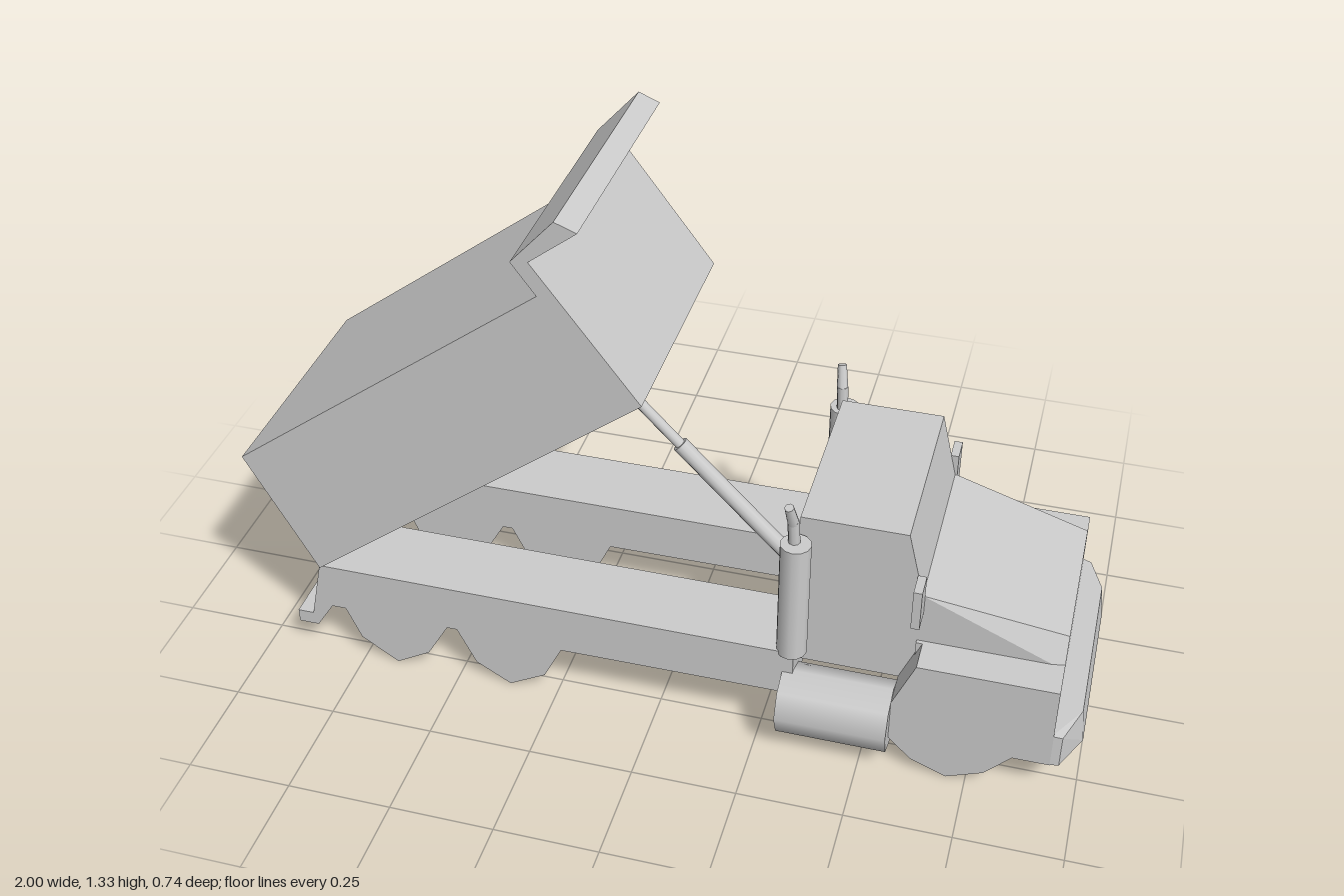
import * as THREE from 'three';
import { ConvexGeometry } from 'three/addons/geometries/ConvexGeometry.js';

const material = new THREE.MeshStandardMaterial({ color: 0xcccccc });

export function createModel() {
  const model = new THREE.Group();
  model.name = 'dumpTruck';

  const add = (name, geometry) => {
    const mesh = new THREE.Mesh(geometry, material);
    mesh.name = name;
    model.add(mesh);
    return mesh;
  };
  // Side profile in x and y, extruded from z0 to z1
  const slab = (points, z0, z1) => {
    const shape = new THREE.Shape(points.map(([x, y]) => new THREE.Vector2(x, y)));
    return new THREE.ExtrudeGeometry(shape, { depth: z1 - z0, bevelEnabled: false }).translate(0, 0, z0);
  };
  const mirroredSlab = (name, points, z0, z1) => {
    add(name + 'Left', slab(points, z0, z1));
    add(name + 'Right', slab(points, -z1, -z0));
  };
  const rod = (name, from, to, r0, r1 = r0, sides = 12) => {
    const a = new THREE.Vector3(...from), b = new THREE.Vector3(...to);
    const dir = b.clone().sub(a);
    const mesh = add(name, new THREE.CylinderGeometry(r1, r0, dir.length(), sides));
    mesh.position.copy(a).add(b).multiplyScalar(0.5);
    mesh.quaternion.setFromUnitVectors(new THREE.Vector3(0, 1, 0), dir.normalize());
    return mesh;
  };
  const box = (name, x0, x1, y0, y1, z0, z1) =>
    add(name, new THREE.BoxGeometry(x1 - x0, y1 - y0, z1 - z0)
      .translate((x0 + x1) / 2, (y0 + y1) / 2, (z0 + z1) / 2));
  // Convex solid symmetric about z = 0, from corners on the left half
  const symmetricHull = (name, corners) =>
    add(name, new ConvexGeometry(corners.flatMap(([x, y, z]) =>
      [new THREE.Vector3(x, y, z), new THREE.Vector3(x, y, -z)])));

  // Raised dump bed with its cab guard
  add('dumpBed', slab([
    [-1, 0.575], [-0.84, 0.27], [-0.02, 0.905], [-0.26, 1.225],
    [-0.15, 1.31], [-0.2, 1.33], [-0.3, 1.22], [-0.245, 1.145],
  ], -0.303, 0.303));

  // Chassis rails with tail steps and rear wheels in one silhouette
  mirroredSlab('chassisRail', [
    [-0.845, 0.27], [-0.88, 0.11], [-0.92, 0.11], [-0.92, 0.075], [-0.87, 0.075],
    [-0.825, 0.145], [-0.79, 0.145], [-0.755, 0.06], [-0.665, 0], [-0.58, 0.05],
    [-0.525, 0.145], [-0.5, 0.145], [-0.455, 0.05], [-0.37, 0], [-0.28, 0.05],
    [-0.235, 0.142], [0.33, 0.145], [0.33, 0.27],
  ], 0.105, 0.295);
  box('rearCrossMember', -0.845, -0.77, 0.23, 0.27, -0.11, 0.11);

  // Hydraulic ram
  rod('ramCylinder', [0.29, 0.27, 0], [-0.02, 0.588, 0], 0.02);
  rod('ramPiston', [-0.02, 0.588, 0], [-0.2, 0.775, 0], 0.013);

  // Cab and hood
  add('cab', slab([
    [0.32, 0.2], [0.62, 0.2], [0.62, 0.445], [0.605, 0.455], [0.565, 0.62], [0.32, 0.62],
  ], -0.23, 0.23));
  symmetricHull('hood', [
    [0.605, 0.455, 0.23], [0.935, 0.38, 0.192],
    [0.605, 0.31, 0.23], [0.935, 0.31, 0.23],
  ]);
  box('engineBay', 0.6, 0.935, 0.2, 0.322, -0.24, 0.24);
  box('grille', 0.87, 0.935, 0.1, 0.322, -0.3, 0.3);

  // Front fenders with the wheel outline, and the inner tyres
  mirroredSlab('frontFender', [
    [0.615, 0.322], [0.565, 0.2], [0.565, 0.09], [0.62, 0.035], [0.705, 0],
    [0.79, 0.035], [0.85, 0.1], [0.935, 0.1], [0.935, 0.322],
  ], 0.23, 0.32);
  mirroredSlab('frontTyre', [
    [0.565, 0.09], [0.62, 0.035], [0.705, 0], [0.79, 0.035], [0.84, 0.09],
    [0.84, 0.2], [0.565, 0.2],
  ], 0.105, 0.23);

  // Bumper with swept corners
  symmetricHull('bumper', [
    [0.93, 0.1, 0.32], [0.955, 0.1, 0.315], [1, 0.1, 0.22],
    [0.93, 0.19, 0.32], [0.955, 0.185, 0.315], [0.99, 0.19, 0.22],
  ]);

  // Fuel tanks, exhaust stacks and mirrors on both sides
  for (const [side, s] of [['Left', 1], ['Right', -1]]) {
    rod('fuelTank' + side, [0.305, 0.128, s * 0.288], [0.565, 0.128, s * 0.288], 0.084, 0.084, 8);
    rod('exhaustStack' + side, [0.32, 0.26, s * 0.27], [0.32, 0.575, s * 0.27], 0.036);
    rod('exhaustPipe' + side, [0.315, 0.57, s * 0.263], [0.312, 0.635, s * 0.266], 0.014, 0.014, 8);
    rod('exhaustTip' + side, [0.312, 0.63, s * 0.266], [0.305, 0.685, s * 0.285], 0.014, 0.011, 8);
    const z = [s * 0.228, s * 0.288].sort((a, b) => a - b);
    box('mirror' + side, 0.59, 0.61, 0.405, 0.51, ...z);
  }
  return model;
}
